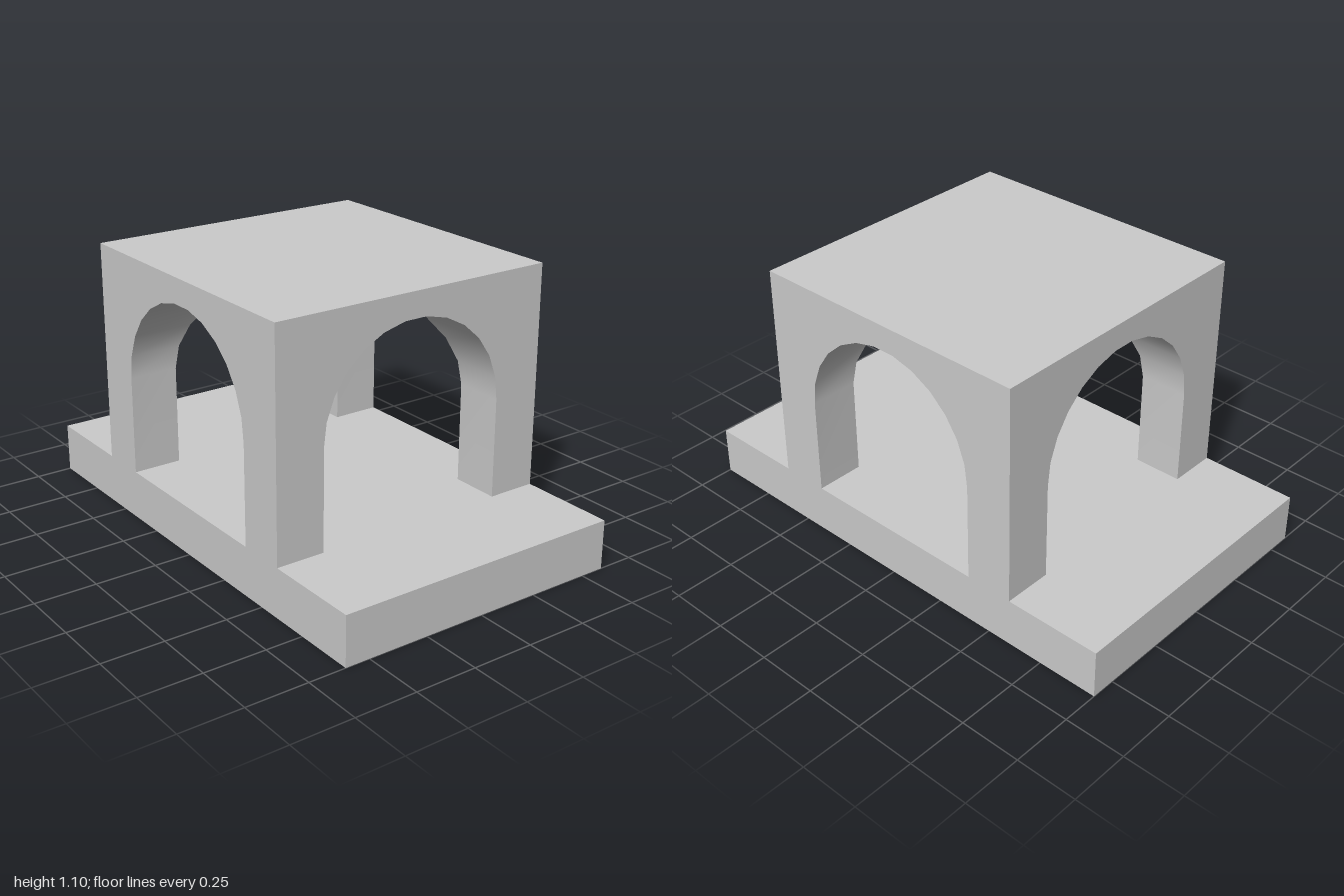
import * as THREE from 'three';

const HALF = 0.6;      // half width of the square block
const FLOOR = 0.2;     // top of the base slab
const TOP = 1.1;       // roof height
const R = 0.4;         // arch radius
const SPRING = 0.6;    // height where the arch begins
const SEGMENTS = 13;

// Arch outline from the right jamb, over the crown, to the left jamb
function archProfile() {
  const points = [[R, FLOOR]];
  for (let i = 0; i <= SEGMENTS; i++) {
    const a = (Math.PI * i) / SEGMENTS;
    points.push([R * Math.cos(a), SPRING + R * Math.sin(a)]);
    // Crown point, where the four groins meet
    if (i === (SEGMENTS - 1) / 2) points.push([0, SPRING + R * Math.cos(Math.PI / SEGMENTS / 2)]);
  }
  points.push([-R, FLOOR]);
  return points;
}

// Flat wall face around the arched opening
function wallGeometry(profile) {
  const outline = [[-HALF, FLOOR], [-R, FLOOR], ...profile.slice(1, -1).reverse(),
    [R, FLOOR], [HALF, FLOOR], [HALF, TOP], [-HALF, TOP]];
  const shape = new THREE.Shape(outline.map(([x, y]) => new THREE.Vector2(x, y)));
  return new THREE.ShapeGeometry(shape).translate(0, 0, HALF);
}

// Jambs and vault: each strip runs inwards to the diagonal groin at z = |x|
function vaultGeometry(profile) {
  const positions = [], index = [];
  profile.forEach(([x, y], i) => {
    positions.push(x, y, HALF, x, y, Math.abs(x));
    if (i === 0) return;
    const a = 2 * i - 2;
    index.push(a, a + 2, a + 1, a + 2, a + 3, a + 1);
  });
  const geometry = new THREE.BufferGeometry();
  geometry.setAttribute('position', new THREE.Float32BufferAttribute(positions, 3));
  geometry.setIndex(index);
  geometry.computeVertexNormals();
  return geometry;
}

export function createModel() {
  const model = new THREE.Group();
  model.name = 'vaultedPavilion';
  const material = new THREE.MeshStandardMaterial({ color: 0xcccccc, side: THREE.DoubleSide });

  function add(name, geometry, parent = model) {
    const mesh = new THREE.Mesh(geometry, material);
    mesh.name = name;
    parent.add(mesh);
    return mesh;
  }

  // Base slab
  add('base', new THREE.BoxGeometry(2 * HALF, FLOOR, 2).translate(0, FLOOR / 2, 0));

  // Flat roof
  add('roof', new THREE.PlaneGeometry(2 * HALF, 2 * HALF).rotateX(-Math.PI / 2).translate(0, TOP, 0));

  // Four identical arched sides, joining in a cross vault
  const profile = archProfile();
  const wall = wallGeometry(profile);
  const vault = vaultGeometry(profile);
  ['front', 'left', 'back', 'right'].forEach((side, i) => {
    const group = new THREE.Group();
    group.name = side + 'Arch';
    group.rotation.y = (i * Math.PI) / 2;
    add(side + 'Wall', wall, group);
    add(side + 'Vault', vault, group);
    model.add(group);
  });

  return model;
}
